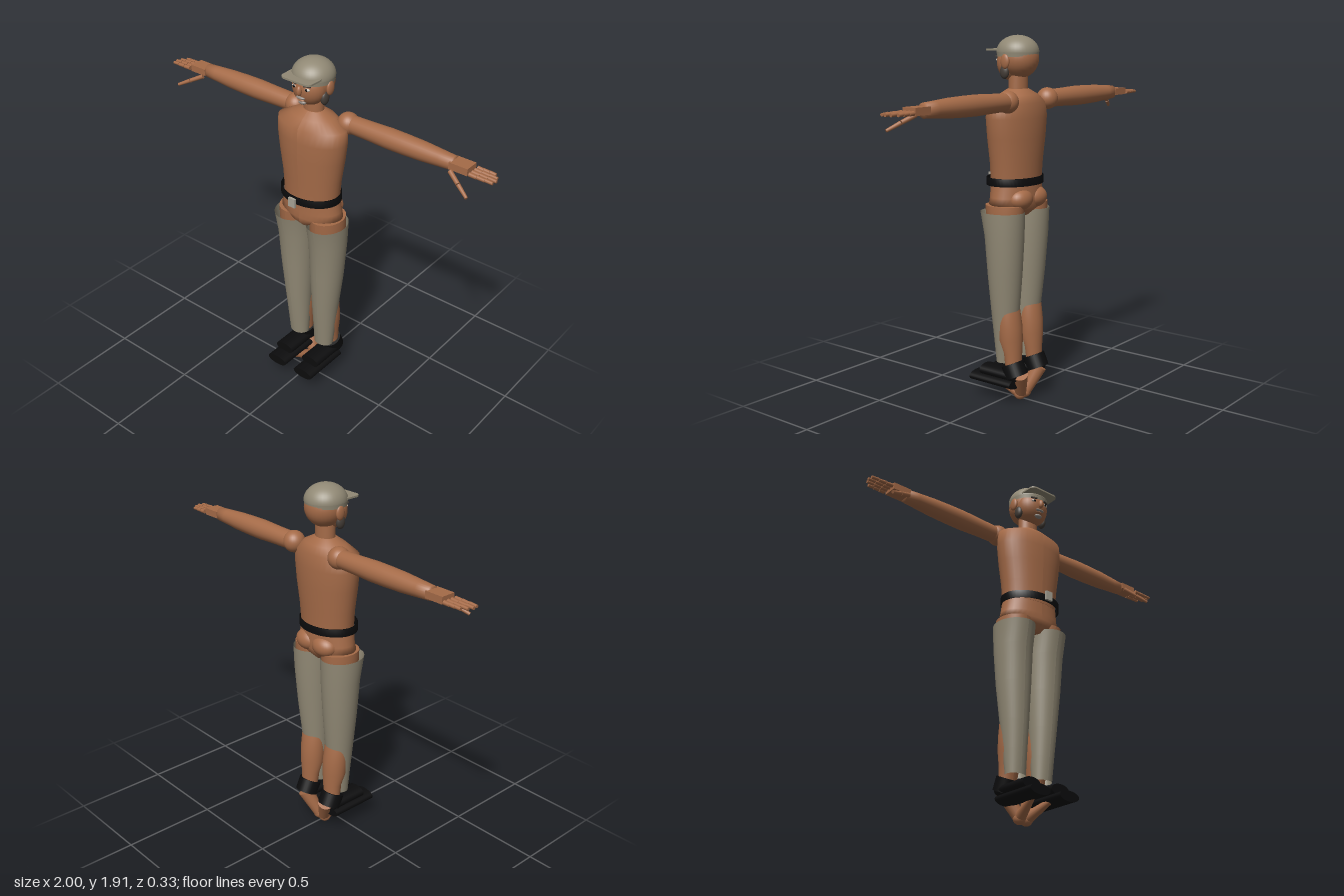
import * as THREE from 'three';

const mat = (name, color, double = false) => {
  const m = new THREE.MeshStandardMaterial({ color });
  m.name = name;
  if (double) m.side = THREE.DoubleSide;
  return m;
};

export function createModel() {
  const root = new THREE.Group();
  root.name = 'figure';
  const skin = mat('skin', 0xa56b48);
  const cloth = mat('khaki cloth', 0x918975, true);
  const black = mat('black leather', 0x0c0c0d, true);
  const metal = mat('buckle metal', 0xa8a396);
  const hair = mat('dark hair', 0x453e38);
  const beard = mat('grey beard', 0x8f8780);
  const eyeWhite = mat('eye white', 0xc8bfb4);

  const add = (name, geo, material, x = 0, y = 0, z = 0) => {
    const m = new THREE.Mesh(geo, material);
    m.name = name;
    m.position.set(x, y, z);
    root.add(m);
    return m;
  };
  const ball = (name, material, x, y, z, rx, ry = rx, rz = rx) => {
    const g = new THREE.SphereGeometry(1, 28, 20).scale(rx, ry, rz);
    return add(name, g, material, x, y, z);
  };
  const box = (name, material, x, y, z, w, h, d) =>
    add(name, new THREE.BoxGeometry(w, h, d), material, x, y, z);

  // Elliptical loft; rows run top to bottom: [y, xCentre, halfWidth, zBack, zFront]
  const loft = (name, material, rows, open = false) => {
    const n = rows.length - 1;
    const g = new THREE.CylinderGeometry(1, 1, 1, 36, n, open);
    const p = g.attributes.position;
    for (let i = 0; i < p.count; i++) {
      const [y, xc, hw, zb, zf] = rows[Math.round((0.5 - p.getY(i)) * n)];
      p.setXYZ(i, xc + p.getX(i) * hw, y, (zb + zf) / 2 + p.getZ(i) * (zf - zb) / 2);
    }
    g.computeVertexNormals();
    return add(name, g, material);
  };
  // Tapered round limb between two points
  const limb = (name, material, a, b, ra, rb) => {
    const A = new THREE.Vector3(...a), d = new THREE.Vector3(...b).sub(A);
    const g = new THREE.CylinderGeometry(rb, ra, d.length(), 16);
    const m = add(name, g, material);
    m.position.copy(A).addScaledVector(d, 0.5);
    m.quaternion.setFromUnitVectors(new THREE.Vector3(0, 1, 0), d.normalize());
    return m;
  };

  // Trunk
  loft('torso', skin, [
    [1.645, 0, 0.06, -0.09, 0.005], [1.615, 0, 0.12, -0.13, 0.045],
    [1.575, 0, 0.198, -0.15, 0.083], [1.5, 0, 0.2, -0.156, 0.088],
    [1.4, 0, 0.187, -0.155, 0.087], [1.28, 0, 0.168, -0.147, 0.08],
    [1.16, 0, 0.158, -0.142, 0.077]]);
  loft('pelvis', skin, [
    [1.17, 0, 0.163, -0.14, 0.075], [1.1, 0, 0.172, -0.145, 0.075],
    [1.065, 0, 0.182, -0.145, 0.077], [1.035, 0, 0.12, -0.135, 0.072],
    [1.0, 0, 0.04, -0.1, 0.04]]);
  loft('neck', skin, [[1.74, 0, 0.055, -0.09, 0], [1.63, 0, 0.055, -0.09, 0.002]]);

  // Belt ring and the buckle in front of it
  const ring = [[0.955, -0.02], [1, -0.02], [1, 0.02], [0.955, 0.02], [0.955, -0.02]]
    .map(([r, y]) => new THREE.Vector2(r, y));
  const belt = new THREE.LatheGeometry(ring, 48).scale(0.171, 1, 0.13);
  add('belt', belt, black, 0, 1.18, -0.025);
  box('buckle', metal, 0, 1.18, 0.128, 0.042, 0.05, 0.013);

  // Head
  ball('cranium', skin, 0, 1.795, -0.05, 0.1, 0.1, 0.1);
  ball('face', skin, 0, 1.775, -0.012, 0.092, 0.095, 0.078);
  ball('nose', skin, 0, 1.775, 0.068, 0.014, 0.026, 0.016);
  ball('moustache', beard, 0, 1.737, 0.058, 0.026, 0.008, 0.012);
  ball('lips', skin, 0, 1.724, 0.055, 0.02, 0.006, 0.01);
  ball('goatee', beard, 0, 1.708, 0.044, 0.022, 0.012, 0.014);

  // Cap: dome, band and brim
  const dome = new THREE.SphereGeometry(1, 36, 14, 0, Math.PI * 2, 0, Math.PI / 2)
    .scale(0.107, 0.085, 0.109);
  add('capDome', dome, cloth, 0, 1.826, -0.041);
  const band = new THREE.CylinderGeometry(0.107, 0.105, 0.022, 36, 1, true);
  add('capBand', band, cloth, 0, 1.816, -0.041);
  const brim = new THREE.Shape();
  brim.moveTo(-0.092, -0.02);
  brim.lineTo(-0.09, 0.085);
  brim.quadraticCurveTo(-0.085, 0.105, -0.06, 0.107);
  brim.lineTo(0.06, 0.107);
  brim.quadraticCurveTo(0.085, 0.105, 0.09, 0.085);
  brim.lineTo(0.092, -0.02);
  const brimGeo = new THREE.ExtrudeGeometry(brim, { depth: 0.009, bevelEnabled: false })
    .rotateX(Math.PI / 2);
  add('capBrim', brimGeo, cloth, 0, 1.842, 0);

  for (const s of [-1, 1]) {
    // Face details
    ball('eye', eyeWhite, s * 0.038, 1.787, 0.055, 0.016, 0.008, 0.008);
    ball('pupil', black, s * 0.038, 1.787, 0.061, 0.007, 0.007, 0.004);
    box('eyebrow', hair, s * 0.04, 1.806, 0.058, 0.036, 0.007, 0.009).rotation.y = s * 0.35;
    ball('ear', skin, s * 0.103, 1.782, -0.04, 0.013, 0.037, 0.026);
    ball('sideburn', hair, s * 0.084, 1.73, -0.022, 0.018, 0.036, 0.026);

    // Arm: shoulder ball and one turned profile out to the wrist
    ball('shoulder', skin, s * 0.165, 1.588, -0.105, 0.056);
    const prof = [[0, 0.16], [0.04, 0.16], [0.046, 0.2], [0.048, 0.3], [0.052, 0.41],
      [0.051, 0.5], [0.048, 0.6], [0.041, 0.7], [0.036, 0.77], [0, 0.77]]
      .map(([r, y]) => new THREE.Vector2(r, y));
    const armGeo = new THREE.LatheGeometry(prof, 24).rotateZ(-s * Math.PI / 2);
    add('arm', armGeo, skin, 0, 1.588, -0.107);

    // Hand: palm, jointed fingers, thumb
    box('palm', skin, s * 0.812, 1.59, -0.105, 0.1, 0.036, 0.078);
    [[-0.142, 0.968], [-0.118, 0.99], [-0.093, 1.0], [-0.068, 0.995]].forEach(([z, tip]) => {
      const start = 0.872, step = (tip - start) / 3;
      for (let k = 0; k < 3; k++) {
        const a = start + k * step;
        limb('finger', skin, [s * a, 1.585, z], [s * (a + step * 0.96), 1.583, z],
          0.011 - k * 0.001, 0.01 - k * 0.001);
      }
    });
    limb('thumb', skin, [s * 0.775, 1.567, -0.064], [s * 0.838, 1.536, -0.035], 0.012, 0.011);
    limb('thumbTip', skin, [s * 0.842, 1.534, -0.033], [s * 0.905, 1.502, -0.005], 0.011, 0.008);

    // Hip, buttock and leg
    loft('thigh', skin, [
      [1.06, s * 0.1, 0.088, -0.14, 0.07], [1.0, s * 0.1, 0.09, -0.138, 0.065],
      [0.8, s * 0.1, 0.08, -0.12, 0.045], [0.55, s * 0.095, 0.05, -0.085, 0.01]]);
    ball('buttock', skin, s * 0.06, 1.09, -0.105, 0.075, 0.056, 0.058);
    loft('calf', skin, [
      [0.58, s * 0.093, 0.055, -0.09, 0.01], [0.5, s * 0.092, 0.067, -0.112, 0.01],
      [0.42, s * 0.09, 0.069, -0.124, 0.005], [0.35, s * 0.089, 0.067, -0.127, 0],
      [0.28, s * 0.088, 0.054, -0.125, -0.03], [0.18, s * 0.09, 0.046, -0.125, -0.05]]);
    loft('trouserLeg', cloth, [
      [1.025, s * 0.105, 0.104, -0.146, 0.095], [0.9, s * 0.103, 0.1, -0.141, 0.069],
      [0.7, s * 0.099, 0.09, -0.127, 0.055], [0.5, s * 0.093, 0.074, -0.109, 0.041],
      [0.35, s * 0.089, 0.063, -0.093, 0.027], [0.225, s * 0.086, 0.055, -0.077, 0.015]], true);

    // Shoe: sole, upper and tilted ankle collar
    const rod = (name, y, hw, hh, z0, z1) => {
      const g = new THREE.CylinderGeometry(1, 1, z1 - z0, 28)
        .rotateX(Math.PI / 2).scale(hw, hh, 1);
      add(name, g, black, s * 0.092, y, (z0 + z1) / 2);
    };
    rod('shoeSole', 0.112, 0.062, 0.027, -0.105, 0.165);
    rod('shoeUpper', 0.158, 0.056, 0.03, -0.12, 0.1);
    const collar = new THREE.CylinderGeometry(1, 1, 0.072, 28).scale(0.06, 1, 0.06);
    add('shoeCollar', collar, black, s * 0.092, 0.187, -0.093).rotation.x = 0.42;

    // Bare foot folded in beneath the shoe
    limb('heel', skin, [s * 0.083, 0.165, -0.122], [s * 0.022, 0.037, -0.079], 0.042, 0.03);
    ball('footJoint', skin, s * 0.022, 0.033, -0.075, 0.033);
    limb('forefoot', skin, [s * 0.022, 0.037, -0.072], [s * 0.055, 0.1, 0.055], 0.031, 0.016);
    ball('toe', skin, s * 0.055, 0.1, 0.055, 0.016);
  }
  return root;
}
